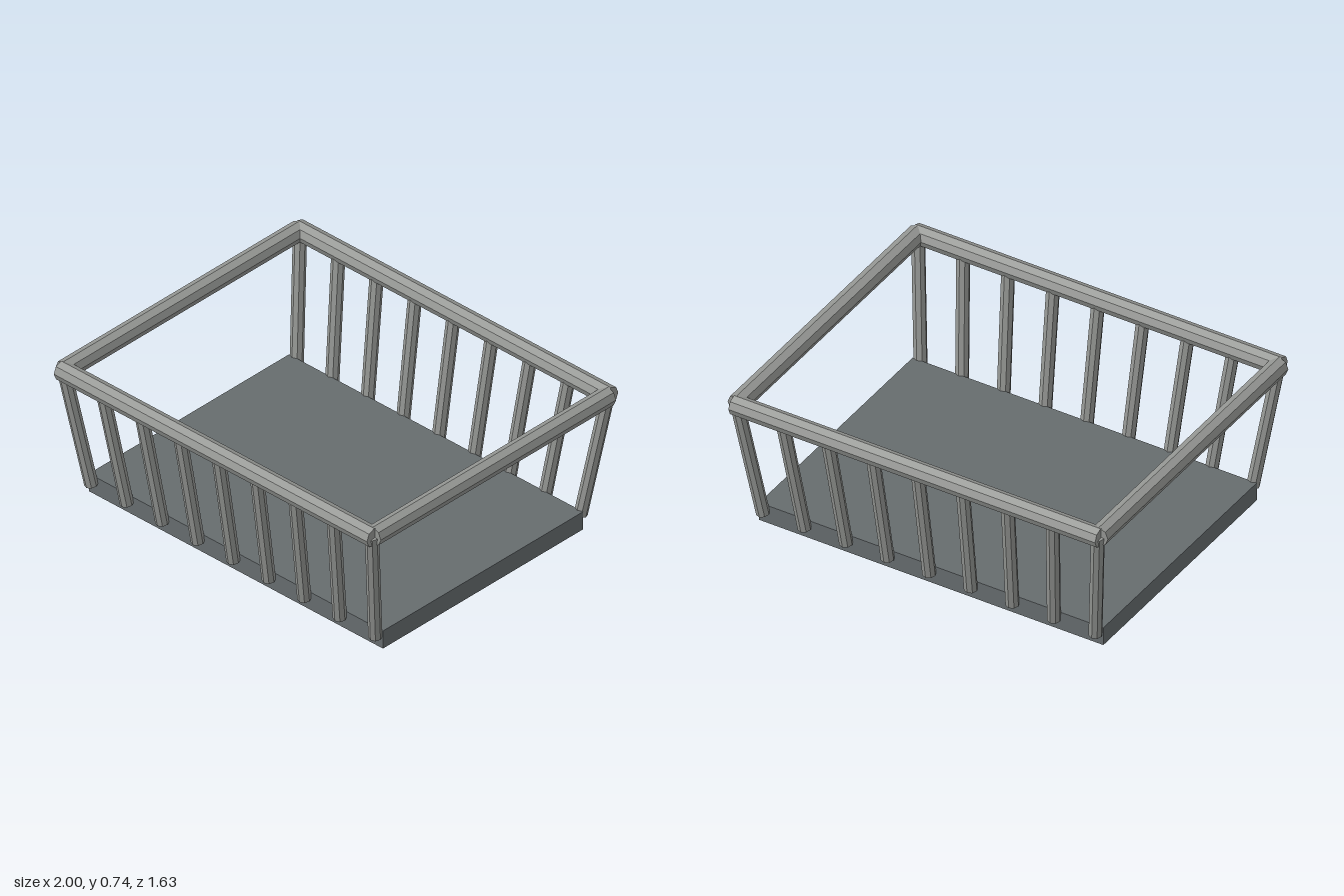
import * as THREE from 'three';

const railMetal = new THREE.MeshStandardMaterial({ color: 0x949693, flatShading: true });
railMetal.name = 'railGrey';
const basePaint = new THREE.MeshStandardMaterial({ color: 0x666c6e });
basePaint.name = 'slateGrey';

// Eight-sided rod running from point a to point b
function rod(name, a, b, radius) {
  const dir = b.clone().sub(a);
  const mesh = new THREE.Mesh(new THREE.CylinderGeometry(radius, radius, dir.length(), 8), railMetal);
  mesh.position.copy(a).add(b).multiplyScalar(0.5);
  mesh.quaternion.setFromUnitVectors(new THREE.Vector3(0, 1, 0), dir.normalize());
  mesh.name = name;
  return mesh;
}

export function createModel() {
  const group = new THREE.Group();
  group.name = 'slattedTray';
  const V = (x, y, z) => new THREE.Vector3(x, y, z);

  // Floor slab
  const floor = new THREE.Mesh(new THREE.BoxGeometry(1.81, 0.095, 1.3), basePaint);
  floor.position.y = 0.0475;
  floor.name = 'floor';
  group.add(floor);

  const railY = 0.688, railR = 0.048, railX = 0.952, railZ = 0.768;
  for (const s of [-1, 1]) {
    const end = s > 0 ? 'front' : 'back';
    // Top frame
    group.add(rod(end + 'Rail', V(-0.964, railY, s * railZ), V(0.964, railY, s * railZ), railR));
    group.add(rod(s > 0 ? 'leftRail' : 'rightRail', V(s * railX, railY, -0.764), V(s * railX, railY, 0.764), railR));

    // Bars leaning outward and fanning towards the corners
    for (let i = -4; i <= 4; i++) {
      group.add(rod(end + 'Bar', V(i * 0.2185, 0.06, s * 0.667), V(i * 0.237, railY, s * 0.766), 0.032));
    }
  }
  return group;
}
